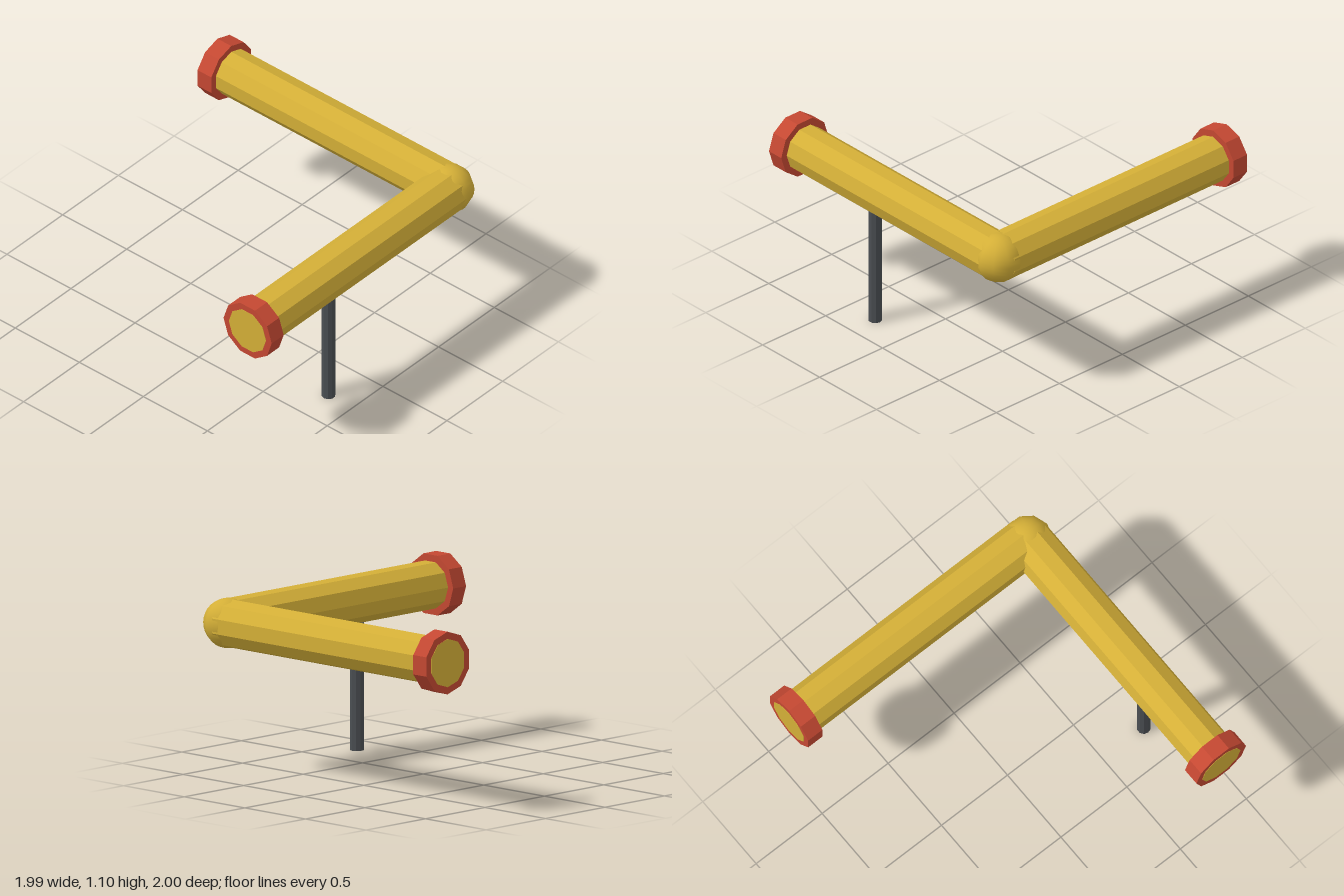
import * as THREE from 'three';

export function createModel() {
  const model = new THREE.Group();
  const paint = (name, color, flatShading = true) =>
    new THREE.MeshStandardMaterial({ name, color, flatShading });
  const gold = paint('gold', 0xd4af37);
  const goldSmooth = gold.clone();
  goldSmooth.flatShading = false;
  const red = paint('red', 0xc44832);
  const grey = paint('dark grey', 0x4a4e52);

  const SIDES = 10, Y = 0.908, C = 0.812; // pipe height and corner position

  // Ten-sided cylinder between two values on one axis, through the given centre
  function rod(name, axis, from, to, radius, centre, material) {
    const geometry = new THREE.CylinderGeometry(radius, radius, to - from, SIDES);
    if (axis === 'x') geometry.rotateZ(Math.PI / 2);
    if (axis === 'z') geometry.rotateX(Math.PI / 2);
    if (axis === 'y') geometry.rotateY(Math.PI / 2);
    const mesh = new THREE.Mesh(geometry, material);
    mesh.name = name;
    mesh.position.set(...centre);
    mesh.position[axis] = (from + to) / 2;
    model.add(mesh);
  }

  // Two pipe runs meeting at the corner, each with an end flange
  for (const [axis, label] of [['x', 'front'], ['z', 'side']]) {
    rod(label + 'Pipe', axis, -1, C, 0.145, [C, Y, C], gold);
    rod(label + 'Flange', axis, -0.998, -0.89, 0.188, [C, Y, C], red);
  }

  // Ball joint at the corner
  const ball = new THREE.SphereGeometry(0.149, SIDES, 16).rotateY(Math.PI / 2);
  const elbow = new THREE.Mesh(ball, goldSmooth);
  elbow.name = 'elbowJoint';
  elbow.position.set(C, Y, C);
  model.add(elbow);

  // Support post under the front pipe
  rod('supportPost', 'y', 0, 0.763, 0.042, [-0.272, 0, C], grey);

  return model;
}
